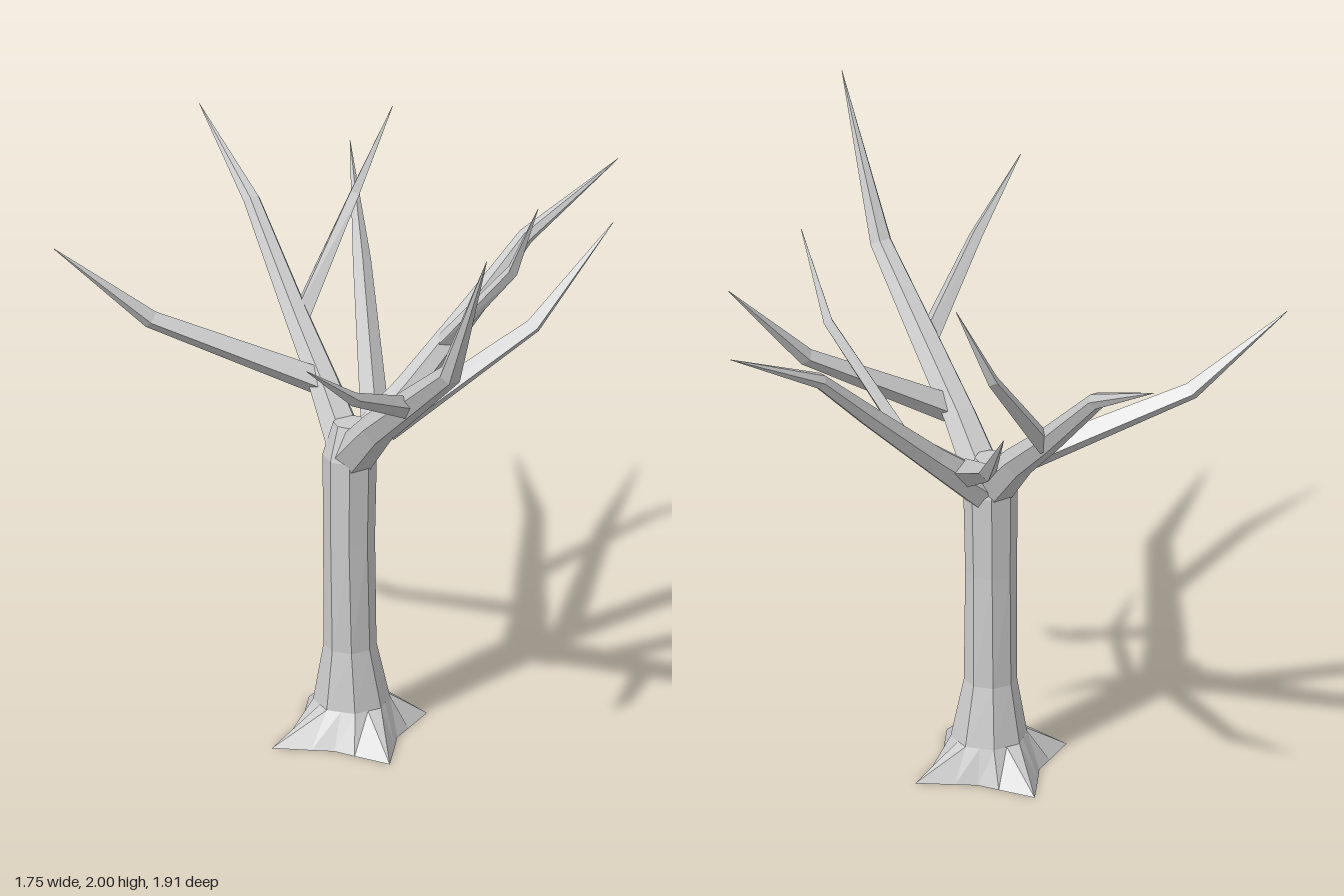
import * as THREE from 'three';

const material = new THREE.MeshStandardMaterial({ color: 0xcccccc, flatShading: true });

// Skin rings of points with flat faces; both ends are closed to their centres.
function loft(rings, name) {
  const pos = [];
  const tri = (...pts) => pts.forEach((p) => pos.push(p.x, p.y, p.z));
  const n = rings[0].length;
  const centre = (ring) => ring.reduce((s, p) => s.add(p), new THREE.Vector3()).divideScalar(n);
  const first = centre(rings[0]), last = centre(rings[rings.length - 1]);
  for (let i = 0; i < n; i++) {
    const j = (i + 1) % n;
    tri(first, rings[0][j], rings[0][i]);
    for (let r = 0; r < rings.length - 1; r++) {
      const a = rings[r], b = rings[r + 1];
      tri(a[i], a[j], b[j]);
      tri(a[i], b[j], b[i]);
    }
    tri(last, rings[rings.length - 1][i], rings[rings.length - 1][j]);
  }
  const geometry = new THREE.BufferGeometry();
  geometry.setAttribute('position', new THREE.Float32BufferAttribute(pos, 3));
  geometry.computeVertexNormals();
  const mesh = new THREE.Mesh(geometry, material);
  mesh.name = name;
  return mesh;
}

// Tapering bent limb; each point is [x, y, z, radius].
function limb(name, points, sides) {
  const p = points.map(([x, y, z]) => new THREE.Vector3(x, y, z));
  const up = new THREE.Vector3(0, 1, 0);
  const rings = p.map((c, k) => {
    const t = new THREE.Vector3();
    if (k > 0) t.add(c.clone().sub(p[k - 1]).normalize());
    if (k < p.length - 1) t.add(p[k + 1].clone().sub(c).normalize());
    t.normalize();
    const u = up.clone().cross(t).normalize();
    const v = t.clone().cross(u);
    return Array.from({ length: sides }, (_, i) => {
      const a = (i / sides) * Math.PI * 2, r = points[k][3];
      return c.clone().addScaledVector(u, r * Math.cos(a)).addScaledVector(v, r * Math.sin(a));
    });
  });
  return loft(rings, name);
}

// Eight-sided trunk ring; a is measured from +z towards +x.
function trunkRing(x, y, z, radius, turn = Math.PI / 8) {
  return Array.from({ length: 8 }, (_, i) => {
    const a = (i / 8) * Math.PI * 2 + turn;
    return new THREE.Vector3(x + radius * Math.sin(a), y, z + radius * Math.cos(a));
  });
}

export function createModel() {
  const tree = new THREE.Group();
  tree.name = 'bareTree';

  // Root flare: a four-pointed star rising into the trunk
  const star = Array.from({ length: 16 }, (_, i) => {
    const a = (i / 16) * Math.PI * 2;
    const corner = i % 4;
    const r = corner === 0 ? 0.27 : corner === 2 ? 0.155 : 0.183;
    return new THREE.Vector3(-0.12 + r * Math.sin(a), 0, 0.05 + r * Math.cos(a));
  });
  const collar = star.map((_, i) => {
    const a = (i / 16) * Math.PI * 2;
    const r = i % 2 ? 0.119 : 0.11;
    return new THREE.Vector3(-0.11 + r * Math.sin(a), 0.11, 0.045 + r * Math.cos(a));
  });
  tree.add(loft([star, collar], 'rootFlare'));

  // Trunk, slightly twisted, closed by a small crown under the fork
  tree.add(loft([
    trunkRing(-0.11, 0.11, 0.045, 0.119),
    trunkRing(-0.117, 0.3, 0.048, 0.082, 0.36),
    trunkRing(-0.122, 0.67, 0.052, 0.08, 0.3),
    trunkRing(-0.12, 0.95, 0.052, 0.084, 0.3),
    trunkRing(-0.12, 1.06, 0.05, 0.05, 0.3),
  ], 'trunk'));

  // Main branches
  const main = {
    frontBranch: [[-0.12, 0.94, 0.06, 0.07], [-0.12, 1.12, 0.24, 0.056],
      [-0.118, 1.3, 0.46, 0.048], [-0.117, 1.51, 0.72, 0.037], [-0.117, 2, 0.96, 0.001]],
    leftBranch: [[-0.11, 0.94, 0.05, 0.066], [0.1, 1.12, 0.03, 0.047],
      [0.34, 1.34, 0.005, 0.036], [0.53, 1.52, -0.02, 0.026], [0.87, 1.695, -0.055, 0.001]],
    backBranch: [[-0.12, 0.95, 0.05, 0.068], [-0.12, 1.12, -0.12, 0.052],
      [-0.12, 1.27, -0.3, 0.042], [-0.12, 1.54, -0.6, 0.028], [-0.12, 1.72, -0.95, 0.001]],
  };
  for (const [name, points] of Object.entries(main)) tree.add(limb(name, points, 6));

  // Side branches growing from the main ones
  const side = {
    frontRightTwig: [[-0.12, 1.28, 0.45, 0.036], [-0.43, 1.475, 0.675, 0.022], [-0.645, 1.66, 0.77, 0.001]],
    frontLeftTwig: [[-0.11, 1.13, 0.28, 0.046], [0.37, 1.405, 0.34, 0.028], [0.645, 1.7, 0.345, 0.001]],
    leftUprightTwig: [[0.21, 1.23, 0.015, 0.026], [0.345, 1.56, 0.25, 0.02], [0.362, 1.825, 0.385, 0.001]],
    leftBackTwig: [[-0.02, 1.04, 0.03, 0.045], [0.2, 1.32, -0.48, 0.028], [0.305, 1.58, -0.76, 0.001]],
    backUprightTwig: [[-0.11, 1.26, -0.3, 0.034], [0.14, 1.59, -0.41, 0.02], [0.268, 1.86, -0.405, 0.001]],
    backRightTwig: [[-0.12, 1.12, -0.12, 0.046], [-0.6, 1.345, -0.355, 0.03], [-0.878, 1.6, -0.468, 0.001]],
  };
  for (const [name, points] of Object.entries(side)) tree.add(limb(name, points, 4));

  return tree;
}
